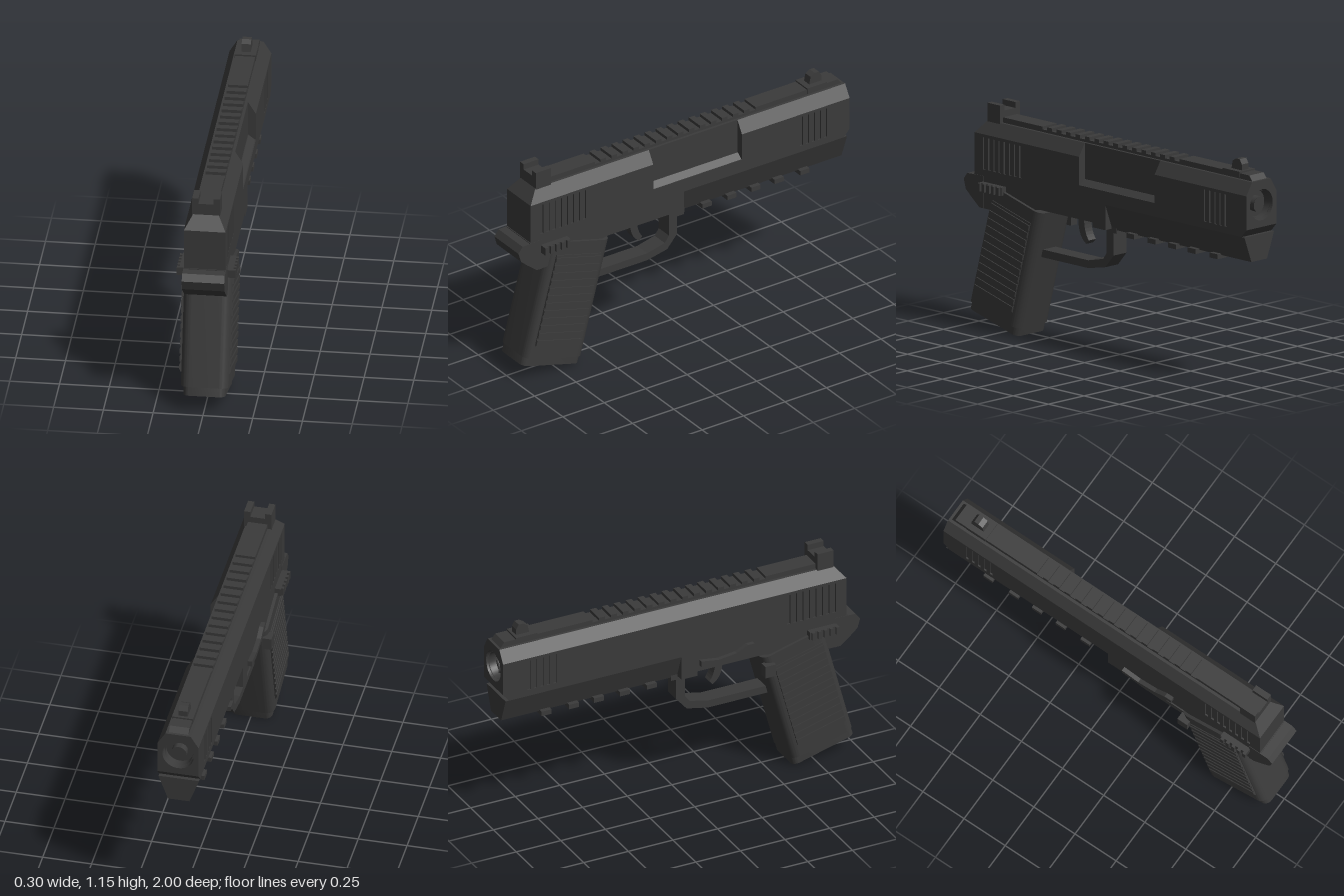
import * as THREE from 'three';
import { toCreasedNormals } from 'three/addons/utils/BufferGeometryUtils.js';

const steel = new THREE.MeshStandardMaterial({ color: 0x3a3a3a });
steel.name = 'dark gunmetal';

function add(parent, name, geometry) {
  const mesh = new THREE.Mesh(geometry, steel);
  mesh.name = name;
  parent.add(mesh);
  return mesh;
}

const outline = (points) => new THREE.Shape(points.map(([a, b]) => new THREE.Vector2(a, b)));

// Box given by its limits
function block(x0, x1, y0, y1, z0, z1) {
  return new THREE.BoxGeometry(x1 - x0, y1 - y0, z1 - z0)
    .translate((x0 + x1) / 2, (y0 + y1) / 2, (z0 + z1) / 2);
}

// Box with separate [x0, x1, z0, z1] limits for its bottom and top
function taper(y0, y1, bottom, top) {
  const g = new THREE.BoxGeometry(1, 1, 1);
  const p = g.attributes.position;
  for (let i = 0; i < p.count; i++) {
    const up = p.getY(i) > 0;
    const [x0, x1, z0, z1] = up ? top : bottom;
    p.setXYZ(i, p.getX(i) > 0 ? x1 : x0, up ? y1 : y0, p.getZ(i) > 0 ? z1 : z0);
  }
  g.computeVertexNormals();
  return g;
}

// Side outline in (z, y), extruded across x
function sideways(shape, x0, x1) {
  return new THREE.ExtrudeGeometry(shape, { depth: x1 - x0, bevelEnabled: false, curveSegments: 8 })
    .rotateY(-Math.PI / 2).translate(x1, 0, 0);
}

// Rounded rectangle in (x, z), extruded up y
function roundedPrism(hx, hz, r, y0, y1) {
  const s = new THREE.Shape();
  s.absarc(hx - r, hz - r, r, 0, Math.PI / 2);
  s.absarc(-hx + r, hz - r, r, Math.PI / 2, Math.PI);
  s.absarc(-hx + r, -hz + r, r, Math.PI, Math.PI * 1.5);
  s.absarc(hx - r, -hz + r, r, Math.PI * 1.5, Math.PI * 2);
  const g = new THREE.ExtrudeGeometry(s, { depth: y1 - y0, bevelEnabled: false, curveSegments: 6 })
    .rotateX(-Math.PI / 2).translate(0, y0, 0);
  return toCreasedNormals(g, 0.6);
}

const PORT = { z0: -0.35, z1: 0.185, y: 0.855 };

// One vertical layer of the slide, with optional port notch and serration slots
function slideLayer(x0, x1, port, slots) {
  const pts = [[0.925, 0.785], [0.925, 1]];
  if (port) pts.push([PORT.z1, 1], [PORT.z1, PORT.y], [PORT.z0, PORT.y], [PORT.z0, 1]);
  pts.push([-0.95, 1], [-0.95, 0.785]);
  const s = outline(pts);
  if (slots) {
    for (const [start, count] of [[0.865, 8], [-0.7, 5]]) {
      for (let i = 0; i < count; i++) {
        const z = start - i * 0.0365;
        s.holes.push(outline([[z, 0.82], [z, 0.985], [z - 0.018, 0.985], [z - 0.018, 0.82]]));
      }
    }
  }
  return sideways(s, x0, x1);
}

function buildSlide() {
  const slide = new THREE.Group();
  slide.name = 'slide';
  add(slide, 'slideCore', slideLayer(-0.065, 0.065, false, false));
  for (const side of [-1, 1]) {
    const layer = (a, b, slots) => slideLayer(Math.min(a * side, b * side), Math.max(a * side, b * side), side > 0, slots);
    add(slide, 'slideWall', layer(0.065, 0.097, false));
    add(slide, 'serratedSkin', layer(0.097, 0.105, true));
  }
  // Bevelled roof, cut back beside the ejection port
  const { z0, z1 } = PORT;
  add(slide, 'roofRear', taper(1, 1.065, [-0.105, 0.105, z1, 0.925], [-0.065, 0.065, z1, 0.87]));
  add(slide, 'roofMiddle', taper(1, 1.065, [-0.105, 0.065, z0, z1], [-0.065, 0.065, z0, z1]));
  add(slide, 'roofFront', taper(1, 1.065, [-0.105, 0.105, -0.95, z0], [-0.065, 0.065, -0.95, z0]));
  add(slide, 'portSill', taper(PORT.y, 0.88, [0.06, 0.1, z0, z1], [0.06, 0.068, z0, z1]));

  // Muzzle face with barrel opening
  const face = outline([[-0.105, 0.825], [0.105, 0.825], [0.105, 1], [0.065, 1.065], [-0.065, 1.065], [-0.105, 1]]);
  face.holes.push(new THREE.Path().absarc(0, 0.94, 0.08, 0, Math.PI * 2, true));
  add(slide, 'muzzleFace', new THREE.ExtrudeGeometry(face, { depth: 0.05, bevelEnabled: false, curveSegments: 24 })
    .translate(0, 0, -1));
  add(slide, 'muzzleChin', sideways(outline([[-0.95, 0.785], [-0.95, 0.825], [-1, 0.825], [-0.965, 0.785]]), -0.105, 0.105));
  const ring = [[0.04, 0], [0.04, 0.035], [0.048, 0.045], [0.064, 0.045], [0.07, 0.038], [0.07, 0]]
    .map(([r, y]) => new THREE.Vector2(r, y)).reverse();
  const barrel = toCreasedNormals(new THREE.LatheGeometry(ring.reverse(), 28), 0.5);
  const mesh = add(slide, 'barrel', barrel.rotateX(-Math.PI / 2).translate(0, 0.94, -0.95));
  mesh.material = barrelSteel;

  // Ribbed top strip
  add(slide, 'topStripRear', block(-0.05, 0.05, 1.06, 1.092, 0.5, 0.86));
  add(slide, 'topStripFront', taper(1.06, 1.092, [-0.05, 0.05, -0.99, -0.47], [-0.05, 0.05, -0.965, -0.47]));
  add(slide, 'topStripBase', block(-0.05, 0.05, 1.06, 1.078, -0.47, 0.5));
  for (let i = 0; i < 14; i++) {
    const z = 0.466 - i * 0.0667;
    add(slide, 'topRib', block(-0.05, 0.05, 1.07, 1.094, z - 0.033, z));
  }

  // Sights
  add(slide, 'rearSightBase', block(-0.07, 0.07, 1.06, 1.125, 0.78, 0.87));
  for (const s of [-1, 1]) add(slide, 'rearSightPost', block(s * 0.054 - 0.016, s * 0.054 + 0.016, 1.12, 1.155, 0.78, 0.87));
  add(slide, 'frontSightBase', block(-0.053, 0.053, 1.07, 1.1, -0.9, -0.78));
  add(slide, 'frontSight', sideways(outline([[-0.81, 1.09], [-0.82, 1.14], [-0.845, 1.155], [-0.87, 1.155], [-0.885, 1.13], [-0.885, 1.09]]), -0.023, 0.023));
  return slide;
}

const barrelSteel = steel;

function buildFrame() {
  const frame = new THREE.Group();
  frame.name = 'frame';
  add(frame, 'receiver', sideways(outline([
    [0.93, 0.788], [0, 0.788], [0, 0.655], [0.09, 0.655], [0.09, 0.68], [0.46, 0.68], [0.83, 0.62], [0.88, 0.62], [0.93, 0.66],
  ].reverse()), -0.104, 0.104));
  // Rounded tail over the web of the hand
  add(frame, 'beavertail', sideways(outline([
    [0.86, 0.787], [0.86, 0.62], [0.89, 0.622], [0.945, 0.665], [0.985, 0.7], [1, 0.75], [0.975, 0.783],
  ]), -0.107, 0.107));

  // Tapered dust cover and accessory rail
  add(frame, 'dustCover', taper(0.652, 0.785, [-0.055, 0.055, -0.985, 0.01], [-0.104, 0.104, -0.985, 0.01]));
  add(frame, 'guardMount', block(-0.06, 0.06, 0.635, 0.665, -0.035, 0.02));
  for (const z of [-0.155, -0.305, -0.45, -0.59, -0.745]) {
    add(frame, 'railTooth', block(-0.083, 0.083, 0.635, 0.66, z - 0.028, z + 0.028));
  }

  // Trigger guard and trigger
  add(frame, 'triggerGuard', sideways(outline([
    [0.05, 0.67], [0.05, 0.52], [0.075, 0.485], [0.18, 0.46], [0.54, 0.46], [0.54, 0.42],
    [0.18, 0.42], [0.06, 0.445], [0, 0.515], [0, 0.67],
  ]), -0.045, 0.045));
  const trigger = new THREE.Shape();
  trigger.moveTo(0.27, 0.69);
  trigger.quadraticCurveTo(0.28, 0.57, 0.215, 0.535);
  trigger.lineTo(0.197, 0.555);
  trigger.quadraticCurveTo(0.235, 0.6, 0.23, 0.69);
  trigger.closePath();
  add(frame, 'trigger', sideways(trigger, -0.025, 0.025));

  // Controls: ribbed thumb levers on both sides, slide stop and release button
  for (const s of [-1, 1]) {
    const lever = add(frame, 'thumbLever', block(-0.02, 0.02, 0.715, 0.757, 0.705, 0.865));
    lever.position.x = s * 0.115;
    for (let i = 0; i < 5; i++) {
      const z = 0.713 + i * 0.0335;
      const rib = add(frame, 'leverRib', block(-0.02, 0.02, 0.715, 0.757, z, z + 0.018));
      rib.position.x = s * 0.128;
    }
  }
  add(frame, 'slideStop', sideways(outline([
    [0.1, 0.745], [0.1, 0.715], [0.2, 0.705], [0.31, 0.72], [0.4, 0.745], [0.4, 0.772], [0.36, 0.772], [0.3, 0.742], [0.2, 0.73],
  ]), -0.127, -0.1));
  add(frame, 'releaseButton', block(-0.145, -0.1, 0.567, 0.632, 0.45, 0.51));
  return frame;
}

function buildGrip() {
  const grip = new THREE.Group();
  grip.name = 'grip';
  grip.position.set(0, 0.09, 0.788);
  grip.rotation.x = -0.262;
  add(grip, 'gripBody', roundedPrism(0.12, 0.18, 0.045, 0, 0.64));
  add(grip, 'basePlate', roundedPrism(0.105, 0.178, 0.035, -0.045, 0.01));
  // Ribbed side panels
  for (const s of [-1, 1]) {
    const panel = add(grip, 'gripPanel', block(-0.006, 0.006, 0.07, 0.57, -0.133, 0.145));
    panel.position.x = s * 0.119;
    for (let i = 0; i < 12; i++) {
      const y = 0.078 + i * 0.0412;
      const rib = add(grip, 'gripRib', block(-0.006, 0.006, y, y + 0.026, -0.133, 0.145));
      rib.position.x = s * 0.125;
    }
  }
  return grip;
}

export function createModel() {
  const model = new THREE.Group();
  model.name = 'pistol';
  model.add(buildSlide(), buildFrame(), buildGrip());
  return model;
}
